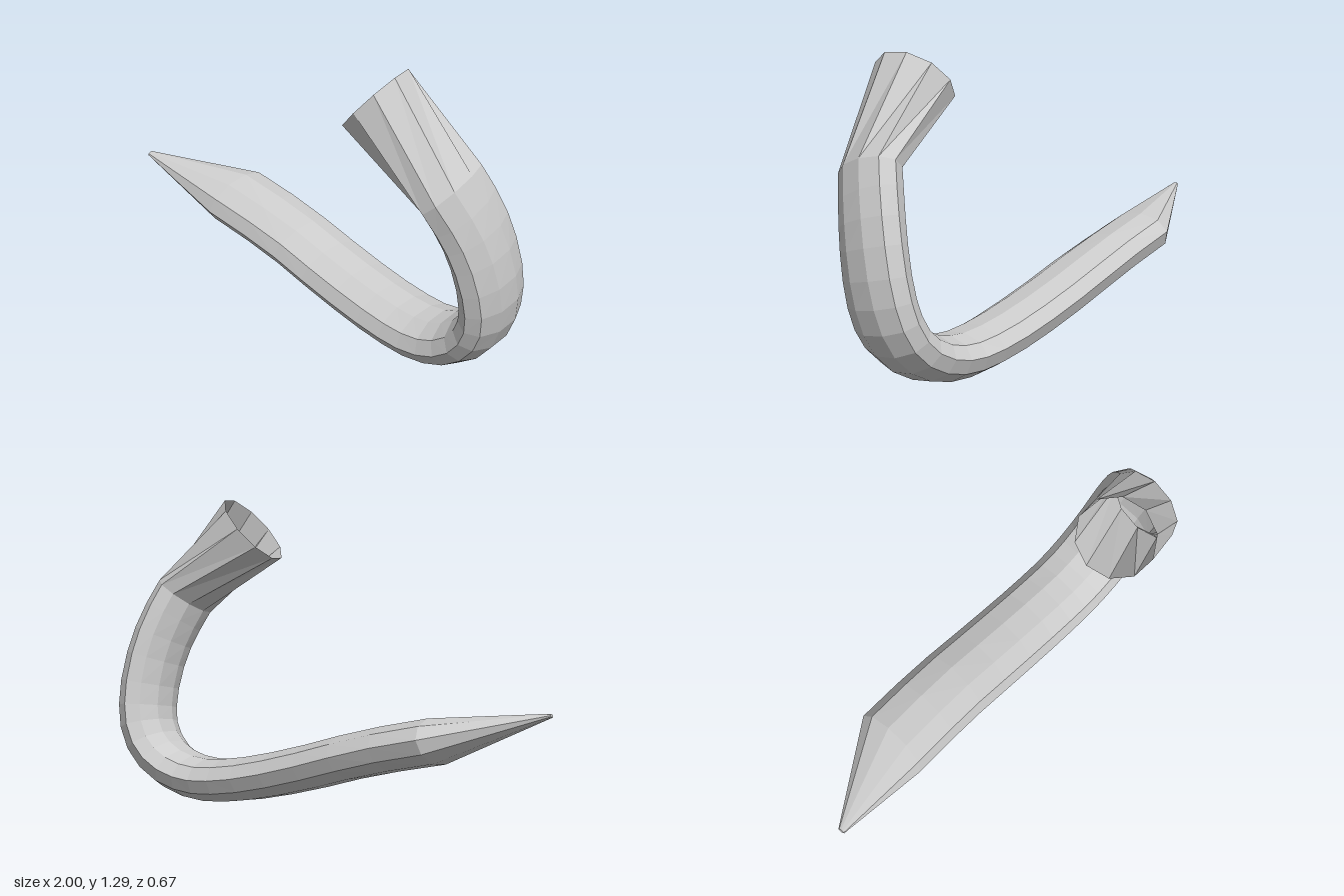
import * as THREE from 'three';

const SIDES = 10;
const v = (a) => new THREE.Vector3(...a);

// Centre line of the bent part, from the straight arm round to the neck
const PATH = [
  [-0.56, 0.385, -0.172], [-0.25, 0.305, -0.163], [0, 0.222, -0.147], [0.25, 0.148, -0.128],
  [0.44, 0.107, -0.113], [0.59, 0.097, -0.1], [0.72, 0.125, -0.09], [0.83, 0.197, -0.077],
  [0.892, 0.3, -0.06], [0.91, 0.42, -0.035], [0.896, 0.58, 0.005], [0.86, 0.72, 0.05],
  [0.805, 0.855, 0.107],
].map(v);

// One ten-sided ring: an ellipse across the tangent, its long axis along "wide"
function ring(centre, tangent, wide, thin, broad) {
  const t = tangent.clone().normalize();
  const w = wide.clone().addScaledVector(t, -wide.dot(t)).normalize();
  const n = new THREE.Vector3().crossVectors(w, t);
  return Array.from({ length: SIDES }, (_, i) => {
    const a = (i / SIDES) * Math.PI * 2;
    return centre.clone().addScaledVector(w, Math.cos(a) * broad).addScaledVector(n, Math.sin(a) * thin);
  });
}

// Skin over a list of rings, with the first ring closed by a cap
function loft(rings) {
  const pos = [], index = [];
  rings.flat().forEach((p) => pos.push(p.x, p.y, p.z));
  for (let r = 0; r < rings.length - 1; r++) {
    for (let i = 0; i < SIDES; i++) {
      const a = r * SIDES + i, b = r * SIDES + ((i + 1) % SIDES);
      index.push(a, a + SIDES, b, b, a + SIDES, b + SIDES);
    }
  }
  for (let i = 1; i < SIDES - 1; i++) index.push(0, i, i + 1);
  const g = new THREE.BufferGeometry();
  g.setAttribute('position', new THREE.Float32BufferAttribute(pos, 3));
  g.setIndex(index);
  g.computeVertexNormals();
  return g;
}

export function createModel() {
  const group = new THREE.Group();
  group.name = 'curvedHorn';
  const rings = [];

  // Pointed tip
  rings.push(ring(v([-0.998, 0.511, -0.065]), v([1, -0.25, -0.1]), v([0.05, -0.08, 0.33]), 0.008, 0.015));

  // Flattened arm and bend, rolling slightly along the way
  const curve = new THREE.CatmullRomCurve3(PATH);
  const wideStart = v([0.05, -0.085, 0.325]), wideBend = v([0, -0.04, 0.34]), wideNeck = v([-0.05, -0.11, 0.315]);
  const steps = 18;
  for (let k = 0; k <= steps; k++) {
    const s = k / steps;
    const wide = s < 0.6
      ? wideStart.clone().lerp(wideBend, s / 0.6)
      : wideBend.clone().lerp(wideNeck, (s - 0.6) / 0.4);
    const t = curve.getTangent(s);
    if (k === steps) t.set(-0.55, 0.79, 0.27);
    rings.push(ring(curve.getPoint(s), t, wide, 0.095, 0.169));
  }

  // Round, open mouth
  rings.push(ring(v([0.485, 1.16, 0.166]), v([-0.72, 0.69, 0.15]), v([0.05, -0.03, 0.335]), 0.175, 0.169));

  const horn = new THREE.Mesh(
    loft(rings),
    new THREE.MeshStandardMaterial({ color: 0xcccccc, flatShading: true, side: THREE.DoubleSide }),
  );
  horn.name = 'horn';
  group.add(horn);
  return group;
}
